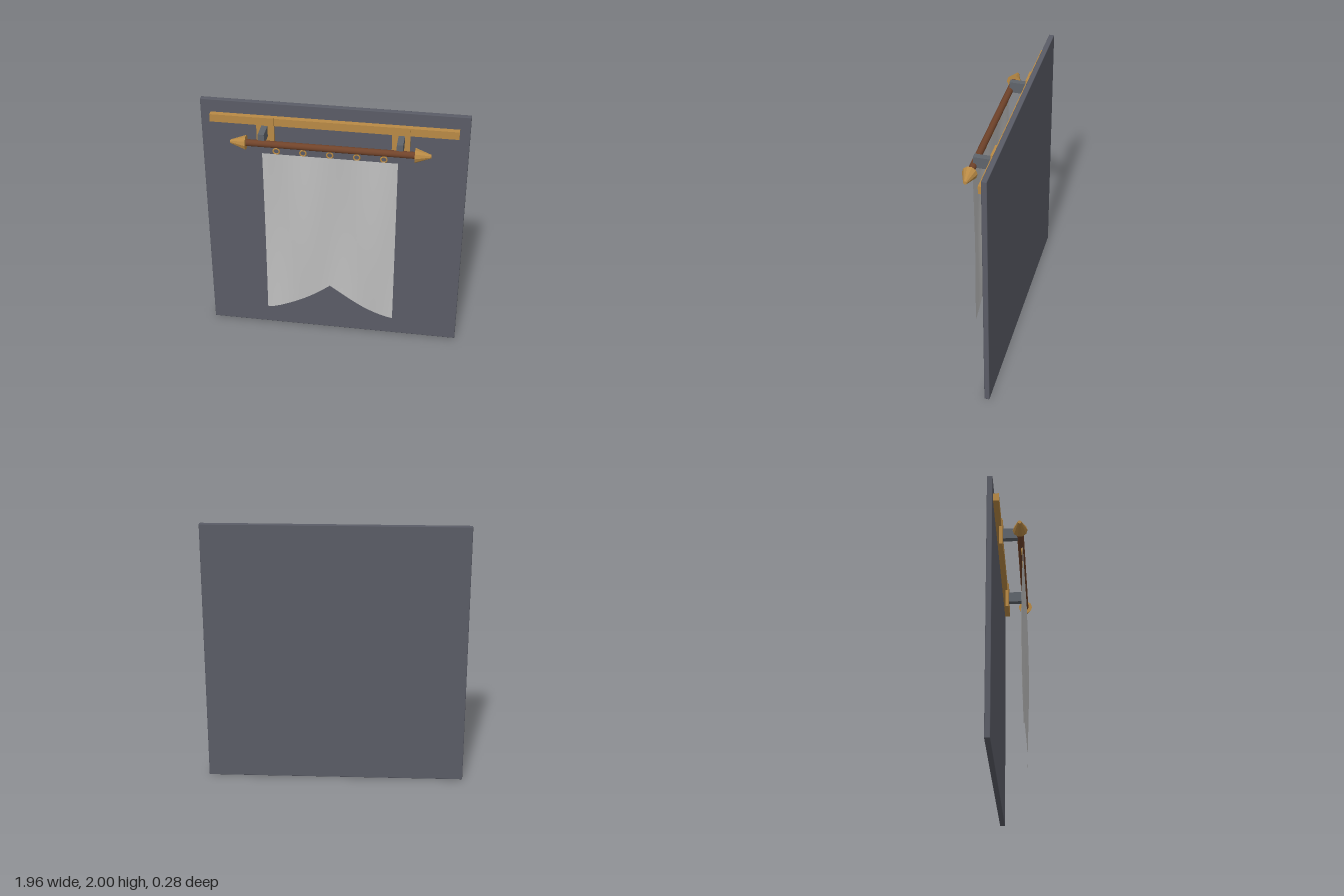
import * as THREE from 'three';
import { RoundedBoxGeometry } from 'three/addons/geometries/RoundedBoxGeometry.js';

const mat = (name, color, extra = {}) => {
  const m = new THREE.MeshStandardMaterial({ color, ...extra });
  m.name = name;
  return m;
};

export function createModel() {
  const stone = mat('slate wall', 0x5a5c66);
  const iron = mat('iron', 0x5f646b);
  const gold = mat('brass', 0xb98a45);
  const brass = mat('faceted brass', 0xb98a45, { flatShading: true });
  const wood = mat('dark wood', 0x70432a);
  const cloth = mat('cloth', 0xbebebe, { side: THREE.DoubleSide });

  const model = new THREE.Group();
  model.name = 'wallBanner';
  const add = (name, geometry, material, x, y, z) => {
    const mesh = new THREE.Mesh(geometry, material);
    mesh.name = name;
    mesh.position.set(x, y, z);
    model.add(mesh);
    return mesh;
  };

  // Wall panel and the rail fixed to it
  add('wallPanel', new RoundedBoxGeometry(1.96, 2, 0.04, 1, 0.005), stone, 0, 1, -0.12);
  add('rail', new THREE.BoxGeometry(1.81, 0.06, 0.042), gold, 0, 1.87, -0.079);

  // Brackets: mounting plate and arm, then pole finials
  const rodY = 1.77, rodZ = 0.083;
  for (const [side, s] of [['left', 1], ['right', -1]]) {
    add(side + 'BracketPlate', new THREE.BoxGeometry(0.13, 0.215, 0.025), gold, s * 0.494, 1.798, -0.0615);
    add(side + 'BracketArm', new THREE.BoxGeometry(0.045, 0.085, 0.135), iron, s * 0.498, 1.8, 0.0175);
    const finial = add(side + 'Finial', new THREE.CylinderGeometry(0.013, 0.055, 0.115, 10), brass, s * 0.665, rodY, rodZ);
    finial.rotation.z = -s * Math.PI / 2;
  }

  // Pole
  const rod = add('pole', new THREE.CylinderGeometry(0.025, 0.025, 1.22, 16), wood, 0, rodY, rodZ);
  rod.rotation.z = Math.PI / 2;

  // Hanging rings
  const ringGeometry = new THREE.TorusGeometry(0.022, 0.006, 6, 16);
  for (let i = -2; i <= 2; i++) {
    add('ring' + (i + 3), ringGeometry, gold, i * 0.194, 1.718, 0.088);
  }

  // Swallow-tailed cloth with soft folds that fade at the top and bottom
  const half = 0.49, top = 1.7, low = 0.305, notch = 0.56;
  const banner = new THREE.PlaneGeometry(2 * half, 1, 40, 30);
  const p = banner.attributes.position;
  for (let i = 0; i < p.count; i++) {
    const x = p.getX(i);
    const v = 0.5 - p.getY(i);
    const bottom = low + (notch - low) * Math.pow(Math.max(0, 1 - Math.abs(x) / half), 1.45);
    const y = top + (bottom - top) * v;
    const fold = Math.cos((x + 0.17) * Math.PI * 4) * Math.sin(Math.PI * (top - y) / (top - low));
    p.setXYZ(i, x, y, 0.098 + 0.017 * fold);
  }
  banner.computeVertexNormals();
  add('bannerCloth', banner, cloth, 0, 0, 0);

  return model;
}
